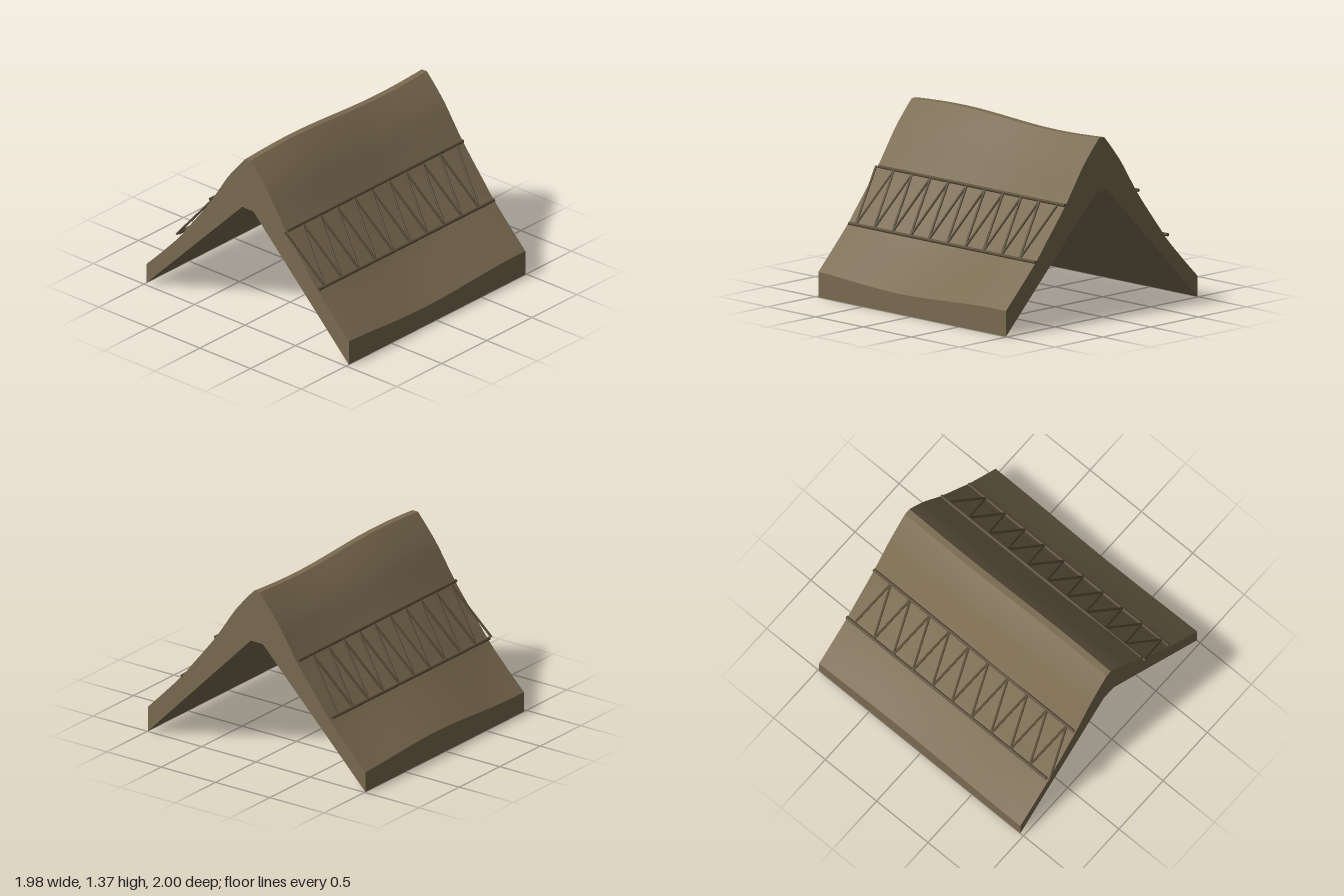
import * as THREE from 'three';
import { mergeGeometries } from 'three/addons/utils/BufferGeometryUtils.js';

const X0 = -0.97, X1 = 0.99;
const EAVE_Y = 0, INNER_Y = 0.95, INNER_Z = 0.055;

// Slope from ridge edge to eave, as (z, y)
const slope = new THREE.SplineCurve([
  [0.025, 1.355], [0.1, 1.272], [0.2, 1.15], [0.3, 1.0], [0.38, 0.882],
  [0.5, 0.728], [0.6, 0.604], [0.69, 0.492], [0.85, 0.325], [1, 0.175],
].map(([z, y]) => new THREE.Vector2(z, y))).getPoints(36);

// Gentle unevenness of the thatch
const wave = (x, z) => -0.02 * Math.sin(Math.PI * x + 1.95 * z);

// Smooth grid of nu by nv cells; faces along (du x dv)
function grid(nu, nv, point) {
  const pos = [], index = [];
  for (let j = 0; j <= nv; j++) {
    for (let i = 0; i <= nu; i++) pos.push(...point(i, j));
  }
  for (let j = 0; j < nv; j++) {
    for (let i = 0; i < nu; i++) {
      const a = j * (nu + 1) + i, b = a + 1, c = a + nu + 1, d = c + 1;
      index.push(a, b, d, a, d, c);
    }
  }
  const g = new THREE.BufferGeometry();
  g.setAttribute('position', new THREE.Float32BufferAttribute(pos, 3));
  g.setIndex(index);
  g.computeVertexNormals();
  return g;
}

function thatchGeometry() {
  const nx = 40;
  const xAt = (i) => X0 + (X1 - X0) * i / nx;
  // Strip swept along x; each profile point is [z, y, wavy]
  const strip = (pts) => grid(nx, pts.length - 1, (i, j) => {
    const [z, y, wavy] = pts[j], x = xAt(i);
    return [x, y + (wavy ? wave(x, z) : 0), z];
  });
  const front = slope.map((p) => [p.x, p.y, true]).reverse();
  const back = slope.map((p) => [-p.x, p.y, true]);
  const parts = [
    strip([[1, EAVE_Y, false], front[0]]),
    strip(front),
    strip([front[front.length - 1], back[0]]),
    strip(back),
    strip([back[back.length - 1], [-1, EAVE_Y, false]]),
    strip([[-1, EAVE_Y, false], [-INNER_Z, INNER_Y, false]]),
    strip([[-INNER_Z, INNER_Y, false], [INNER_Z, INNER_Y, false]]),
    strip([[INNER_Z, INNER_Y, false], [1, EAVE_Y, false]]),
  ];
  // Gable ends between the underside and the top
  const section = [...back].reverse().concat([...front].reverse());
  const under = (z) => Math.min(INNER_Y, INNER_Y * (1 - Math.abs(z)) / (1 - INNER_Z));
  for (const [x, pts] of [[X1, section], [X0, [...section].reverse()]]) {
    parts.push(grid(1, pts.length - 1, (i, j) => {
      const [z, y] = pts[j];
      return [x, i ? y + wave(x, z) : under(z), z];
    }));
  }
  return mergeGeometries(parts);
}

// Round rod between two points
function rod(a, b, radius) {
  const dir = b.clone().sub(a);
  const g = new THREE.CylinderGeometry(radius, radius, dir.length(), 8);
  g.applyQuaternion(new THREE.Quaternion().setFromUnitVectors(
    new THREE.Vector3(0, 1, 0), dir.normalize()));
  const mid = a.clone().add(b).multiplyScalar(0.5);
  return g.translate(mid.x, mid.y, mid.z);
}

export function createModel() {
  const model = new THREE.Group();
  model.name = 'thatchedRoof';

  const thatch = new THREE.MeshStandardMaterial({ color: 0x7a6a50 });
  thatch.name = 'thatch';
  const hazel = new THREE.MeshStandardMaterial({ color: 0x5a4d39 });
  hazel.name = 'hazelRods';

  const add = (name, geometry, material, parent) => {
    const mesh = new THREE.Mesh(geometry, material);
    mesh.name = name;
    parent.add(mesh);
  };
  add('thatch', thatchGeometry(), thatch, model);

  // Rails and zigzag spars pinned across each slope
  for (const side of [1, -1]) {
    const group = new THREE.Group();
    group.name = side > 0 ? 'frontLigger' : 'backLigger';
    const upper = (x) => new THREE.Vector3(x, 0.897, side * 0.382);
    const lower = (x) => new THREE.Vector3(x, 0.514, side * 0.69);
    add('upperRail', rod(upper(-0.96), upper(X1), 0.013), hazel, group);
    add('lowerRail', rod(lower(-0.96), lower(X1), 0.013), hazel, group);

    const spars = [];
    const step = 0.095;
    for (let k = 0; k < 20; k++) {
      const startsUp = (k % 2 === 0) === (side > 0);
      const x = -0.985 + k * step;
      const [from, to] = startsUp ? [upper, lower] : [lower, upper];
      spars.push(rod(from(x), to(x + step), 0.009));
    }
    add('zigzagSpars', mergeGeometries(spars), hazel, group);
    model.add(group);
  }
  return model;
}
